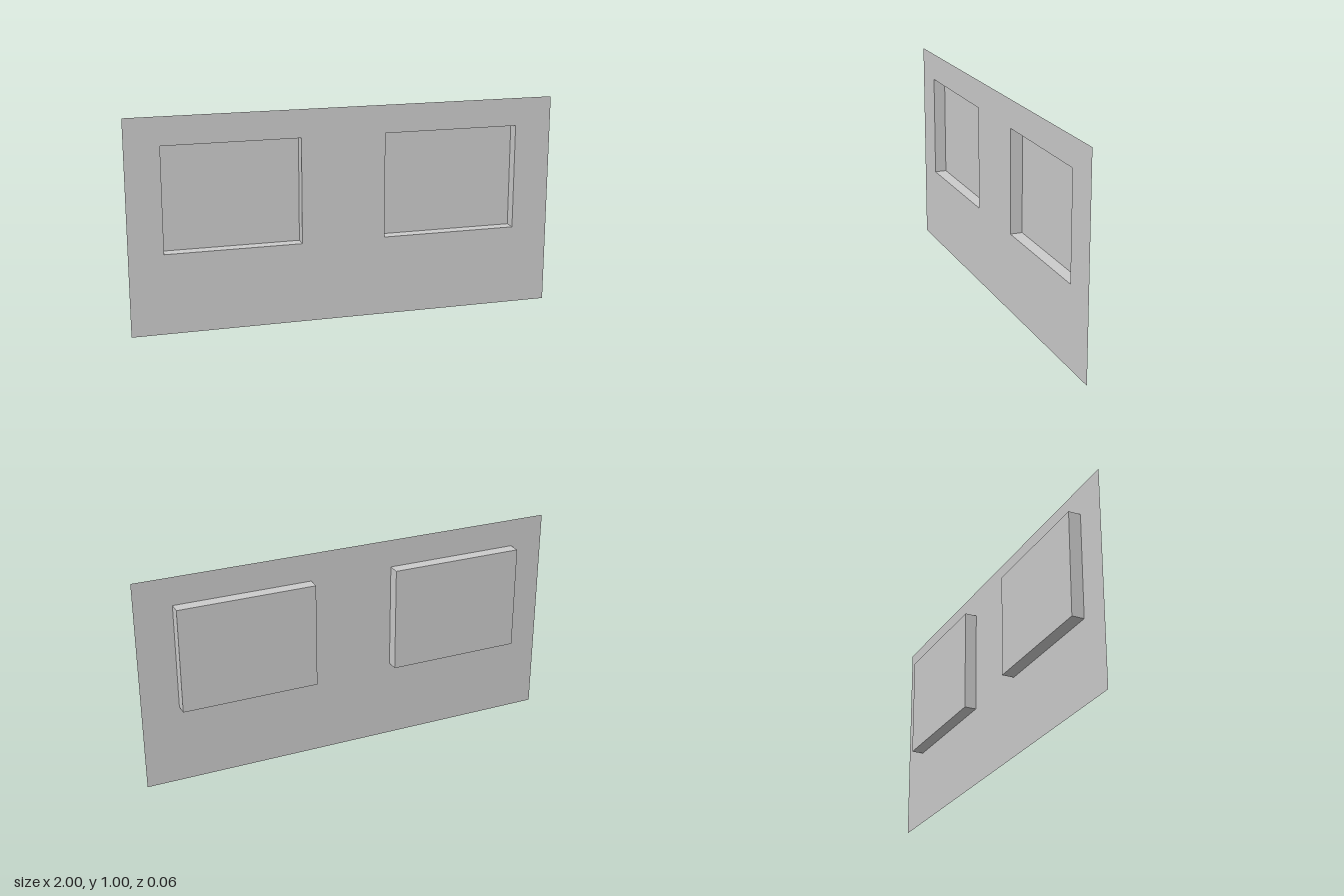
import * as THREE from 'three';

const DEPTH = 0.057;
const FRONT = DEPTH / 2;
const BOTTOM = 0.376, TOP = 0.869;
const RECESSES = [
  { name: 'rightRecess', x0: -0.84, x1: -0.207 },
  { name: 'leftRecess', x0: 0.187, x1: 0.827 },
];

function rectangle(target, x0, y0, x1, y1) {
  target.moveTo(x0, y0);
  target.lineTo(x1, y0);
  target.lineTo(x1, y1);
  target.lineTo(x0, y1);
  target.closePath();
  return target;
}

// Box with its +z face left out
function openTray(width, height, depth) {
  const geometry = new THREE.BoxGeometry(width, height, depth);
  const index = Array.from(geometry.index.array);
  index.splice(24, 6);
  geometry.setIndex(index);
  geometry.clearGroups();
  return geometry;
}

export function createModel() {
  const group = new THREE.Group();
  group.name = 'recessedWallPanel';
  const material = new THREE.MeshStandardMaterial({ color: 0xcccccc, side: THREE.DoubleSide });

  // Thin front sheet with two rectangular openings
  const outline = rectangle(new THREE.Shape(), -1, 0, 1, 1);
  for (const { x0, x1 } of RECESSES) {
    outline.holes.push(rectangle(new THREE.Path(), x0, BOTTOM, x1, TOP));
  }
  const panel = new THREE.Mesh(new THREE.ShapeGeometry(outline), material);
  panel.name = 'frontPanel';
  panel.position.z = FRONT;
  group.add(panel);

  // Shallow trays behind the openings
  for (const { name, x0, x1 } of RECESSES) {
    const tray = new THREE.Mesh(openTray(x1 - x0, TOP - BOTTOM, DEPTH), material);
    tray.name = name;
    tray.position.set((x0 + x1) / 2, (BOTTOM + TOP) / 2, 0);
    group.add(tray);
  }
  return group;
}
